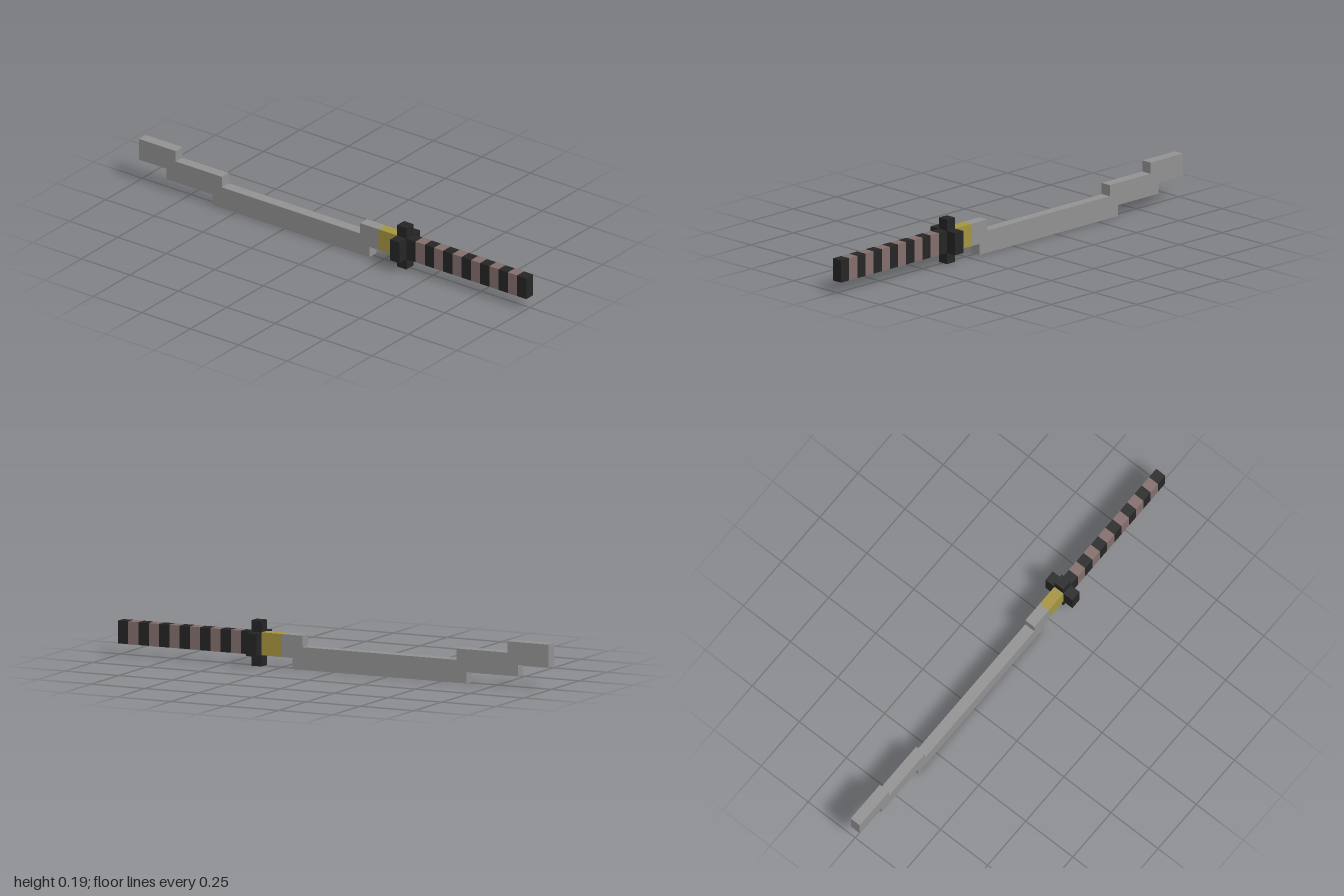
import * as THREE from 'three';

const U = 1 / 21; // one block; the sword is 42 blocks long
const paint = (name, color) => {
  const m = new THREE.MeshStandardMaterial({ color });
  m.name = name;
  return m;
};

export function createModel() {
  const black = paint('black wrap', 0x252525);
  const rose = paint('dusty rose', 0x826e6b);
  const gold = paint('brass', 0xa39340);
  const steel = paint('steel', 0x919191);

  const sword = new THREE.Group();
  sword.name = 'sword';
  const add = (name, geometry, material, parent = sword) => {
    const mesh = new THREE.Mesh(geometry, material);
    mesh.name = name;
    parent.add(mesh);
    return mesh;
  };
  // z position of a block count measured back from the pommel
  const zAt = (n) => 1 - n * U;
  // one-block-wide, two-block-high bar between two block counts
  const bar = (name, from, to, material, parent) => {
    add(name, new THREE.BoxGeometry(U, 2 * U, (to - from) * U), material, parent)
      .position.set(0, 2 * U, zAt((from + to) / 2));
  };
  const outline = (points) => new THREE.Shape(points.map(([a, b]) => new THREE.Vector2(a, b)));
  const slab = (shape) => new THREE.ExtrudeGeometry(shape, { depth: U, bevelEnabled: false });

  // Handle: alternating bands
  const handle = new THREE.Group();
  handle.name = 'handle';
  sword.add(handle);
  for (let i = 0; i < 13; i++) {
    bar(i % 2 ? 'gripBand' : 'wrapBand', i, i + 1, i % 2 ? rose : black, handle);
  }

  // Cross-shaped guard
  const cross = outline([
    [-0.5, 0], [0.5, 0], [0.5, 1], [1.5, 1], [1.5, 3], [0.5, 3],
    [0.5, 4], [-0.5, 4], [-0.5, 3], [-1.5, 3], [-1.5, 1], [-0.5, 1],
  ].map(([x, y]) => [x * U, y * U]));
  add('guard', slab(cross), black).position.z = zAt(14);

  // Collar between guard and blade
  bar('collar', 14, 16, gold);

  // Stepped blade, drawn from the side as block count and height
  const profile = outline([
    [16, 1], [17, 1], [17, 0], [34, 0], [34, 1], [39, 1], [39, 2], [42, 2],
    [42, 4], [38, 4], [38, 3], [33, 3], [33, 2], [18, 2], [18, 3], [16, 3],
  ].map(([n, y]) => [zAt(n), y * U]));
  const blade = slab(profile);
  blade.rotateY(-Math.PI / 2);
  blade.translate(U / 2, 0, 0);
  add('blade', blade, steel);

  return sword;
}
